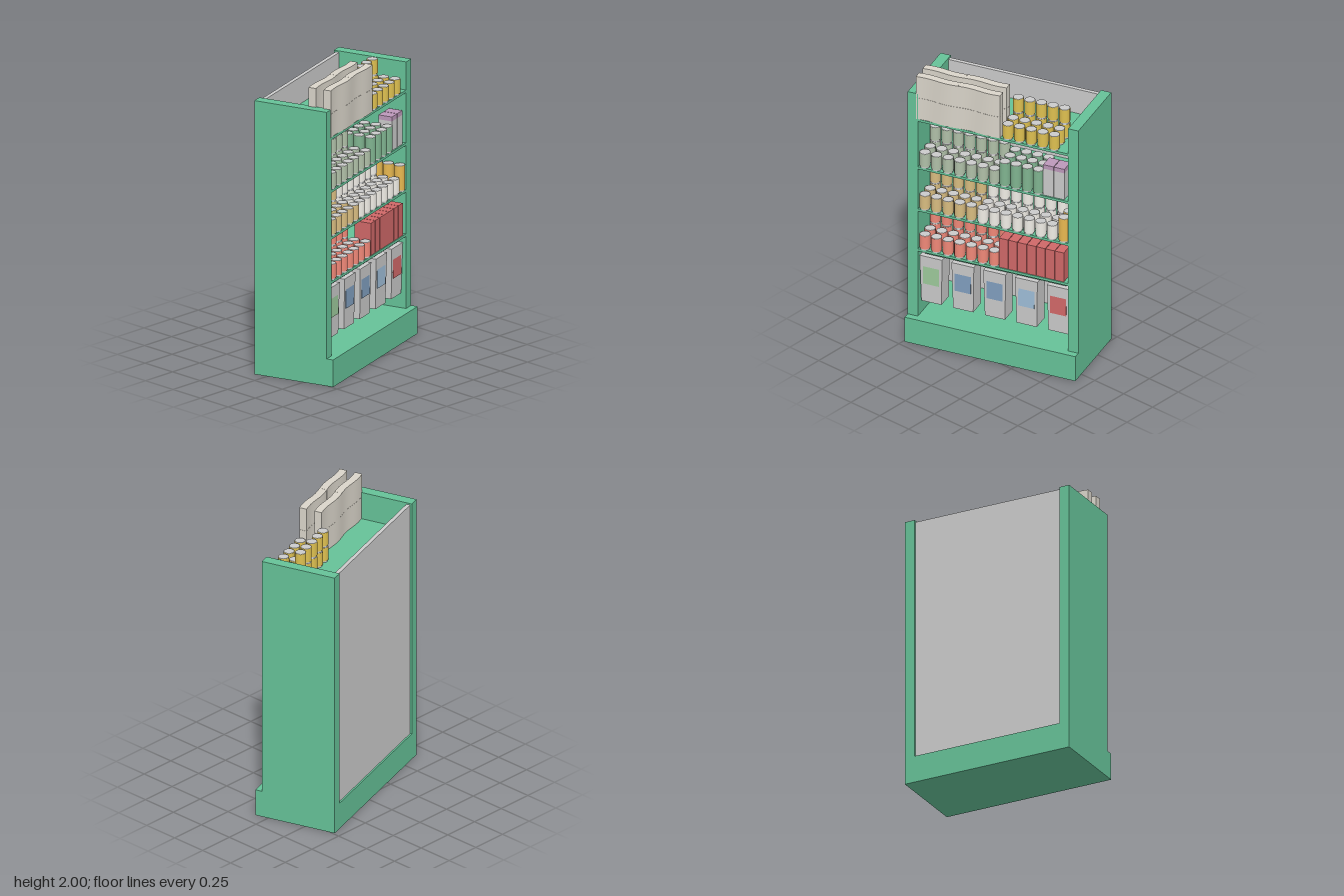
import * as THREE from 'three';

const mat = (color) => new THREE.MeshStandardMaterial({ color });
const GREEN = mat(0x66c298), GREY = mat(0xcccccc), PAPER = mat(0xdad5ca);
const RED = mat(0xd06868), CORAL = mat(0xf08878), TAN = mat(0xd8bc80), WHITE = mat(0xf0ede6);
const SAGE = mat(0xb0c0a8), LEAF = mat(0x80b490), AMBER = mat(0xe8b850), YELLOW = mat(0xdec050);
const MAUVE = mat(0xbc98ba), BLUE = mat(0x7f9dbd), SKY = mat(0x9dbcd6), LIME = mat(0x9cc89a);

const ROWS = [0.212, 0.13, 0.048]; // front, middle and back rows of goods
const SHELVES = [0.695, 0.998, 1.317, 1.678]; // top faces of the shelves
const PITCH = 0.082, CAN_R = 0.036, CAN_H = 0.11;

export function createModel() {
  const model = new THREE.Group();
  model.name = 'stockedShelfUnit';

  const add = (name, geometry, material, x = 0, y = 0, z = 0) => {
    const mesh = new THREE.Mesh(geometry, material);
    mesh.name = name;
    mesh.position.set(x, y, z);
    model.add(mesh);
    return mesh;
  };

  // Box given by its lower and upper corner
  const block = (name, material, [x0, y0, z0], [x1, y1, z1]) =>
    add(name, new THREE.BoxGeometry(x1 - x0, y1 - y0, z1 - z0), material,
      (x0 + x1) / 2, (y0 + y1) / 2, (z0 + z1) / 2);

  // Can with a narrow foot and a plain metal lid
  const canGeometry = (h) => new THREE.CylinderGeometry(CAN_R, CAN_R, h - 0.014, 16).translate(0, h / 2 + 0.005, 0);
  const foot = new THREE.CylinderGeometry(0.031, 0.031, 0.014, 16).translate(0, 0.007, 0);
  const lid = new THREE.CylinderGeometry(0.034, CAN_R, 0.003, 16);
  const shortCan = canGeometry(CAN_H), tallCan = canGeometry(0.18);
  const can = (name, material, x, y, z, tall) => {
    add(name, tall ? tallCan : shortCan, material, x, y, z);
    add(name + 'Foot', foot, GREY, x, y, z);
    add(name + 'Lid', lid, GREY, x, y + (tall ? 0.18 : CAN_H) - 0.0015, z);
  };

  // Three rows of cans, the back row stacked two high
  const canBlock = (name, material, x, y, count) => {
    for (let i = 0; i < count; i++) {
      for (const z of ROWS) can(name, material, x + i * PITCH, y, z);
      can(name, material, x + i * PITCH, y + CAN_H, ROWS[2]);
    }
  };
  const tallBlock = (name, material, x, y, count, pitch) => {
    for (let i = 0; i < count; i++) {
      for (const z of ROWS) can(name, material, x + i * pitch, y, z, true);
    }
  };

  // Cabinet
  block('plinth', GREEN, [-0.604, 0, -0.286], [0.604, 0.185, 0.286]);
  block('rightSidePanel', GREEN, [-0.604, 0.185, -0.286], [-0.532, 1.87, 0.239]);
  block('leftSidePanel', GREEN, [0.532, 0.185, -0.286], [0.604, 1.87, 0.239]);
  block('backPanel', GREY, [-0.532, 0.185, -0.274], [0.532, 1.86, -0.247]);
  for (const y of SHELVES) block('shelf', GREEN, [-0.532, y - 0.018, -0.247], [0.532, y, 0.238]);
  block('hangingBar', GREEN, [-0.5, 0.646, 0.175], [0.5, 0.667, 0.198]);

  // Lowest shelf: cans and a run of slim boxes
  const [s1, s2, s3, s4] = SHELVES;
  canBlock('redCan', CORAL, -0.493, s1, 7);
  for (let i = 0; i < 7; i++) {
    const x = 0.04 + i * 0.066;
    block('redBox', RED, [x, s1, 0.115], [x + 0.062, s1 + 0.22, 0.232]);
  }

  // Second shelf: two kinds of can and a tall can at the end
  canBlock('tanCan', TAN, -0.493, s2, 5);
  canBlock('whiteCan', WHITE, -0.493 + 5 * PITCH, s2, 7);
  tallBlock('amberCan', AMBER, 0.491, s2, 1, PITCH);

  // Third shelf: short cans, tall cans and capped boxes
  canBlock('sageCan', SAGE, -0.493, s3, 7);
  tallBlock('tallGreenCan', LEAF, 0.073, s3, 4, 0.079);
  for (const x of [0.35, 0.427]) {
    block('carton', GREY, [x, s3, 0.13], [x + 0.073, s3 + 0.2, 0.228]);
    block('cartonTop', MAUVE, [x, s3 + 0.2, 0.13], [x + 0.073, s3 + 0.23, 0.228]);
  }

  // Top shelf: yellow cans and two rows of gently bowed packs
  canBlock('yellowCan', YELLOW, 0.095, s4, 5);
  const pack = new THREE.BoxGeometry(0.297, 0.16, 0.052, 8, 1, 1);
  const p = pack.attributes.position;
  for (let i = 0; i < p.count; i++) {
    p.setZ(i, p.getZ(i) + 0.006 * Math.sin((p.getX(i) / 0.297) * Math.PI * 2));
  }
  pack.computeVertexNormals();
  for (const z of [0.214, 0.105]) {
    for (const x of [-0.3975, -0.0995]) {
      for (const y of [s4 + 0.08, s4 + 0.241]) add('paperPack', pack, PAPER, x, y, z);
    }
  }

  // Hanging bags, tapering towards the bottom, each with a coloured label
  const bag = new THREE.BoxGeometry(0.158, 0.345, 0.12);
  const b = bag.attributes.position;
  for (let i = 0; i < b.count; i++) {
    if (b.getY(i) < 0) {
      b.setX(i, b.getX(i) * 0.9);
      b.setZ(i, b.getZ(i) - 0.008);
    }
  }
  bag.computeVertexNormals();
  const label = new THREE.BoxGeometry(0.114, 0.14, 0.004);
  [LIME, BLUE, BLUE, SKY, RED].forEach((color, i) => {
    const x = (i - 2) * 0.225;
    add('hangingBag', bag, GREY, x, 0.4625, 0.156);
    add('bagLabel', label, color, x, 0.498, 0.2135).rotation.x = -0.023;
  });

  // The whole unit stands turned on the floor
  model.rotation.y = 0.307;
  return model;
}
